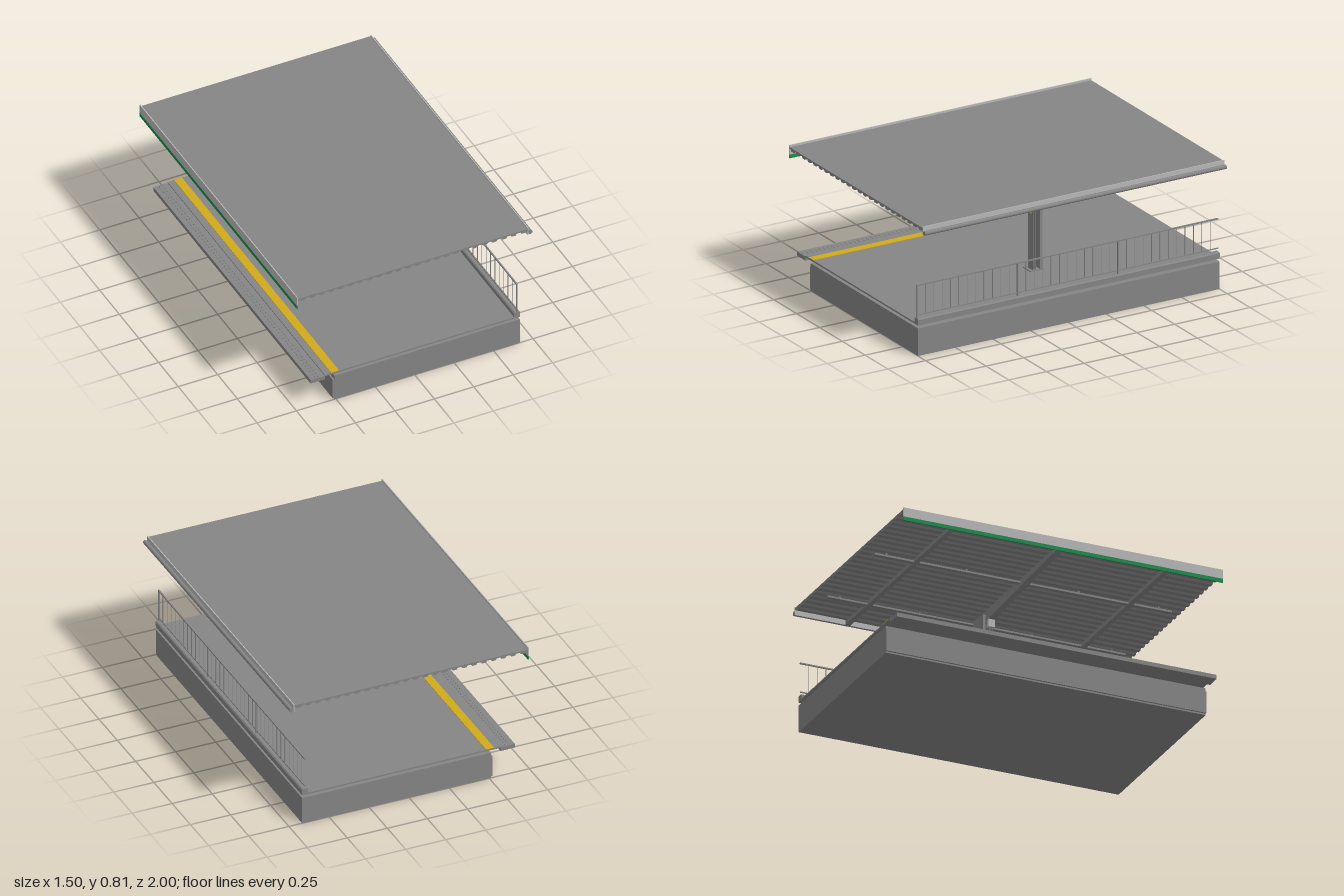
import * as THREE from 'three';
import { mergeGeometries } from 'three/addons/utils/BufferGeometryUtils.js';

const mat = (name, color) => {
  const m = new THREE.MeshStandardMaterial({ color });
  m.name = name;
  return m;
};

// box geometry from its min and max corners
function span(x0, x1, y0, y1, z0, z1) {
  const g = new THREE.BoxGeometry(x1 - x0, y1 - y0, z1 - z0);
  return g.translate((x0 + x1) / 2, (y0 + y1) / 2, (z0 + z1) / 2);
}

// profile in x and y, extruded from z0 to z1
function prism(points, z0, z1) {
  const shape = new THREE.Shape(points.map(([x, y]) => new THREE.Vector2(x, y)));
  const g = new THREE.ExtrudeGeometry(shape, { depth: z1 - z0, bevelEnabled: false });
  return g.translate(0, 0, z0);
}

export function createModel() {
  const model = new THREE.Group();
  model.name = 'stationPlatform';

  const grey = mat('concreteGrey', 0x858585);
  const light = mat('lightGrey', 0xb8b8b8);
  const yellow = mat('safetyYellow', 0xd0aa1c);
  const green = mat('trimGreen', 0x1f8a4c);

  const add = (name, material, ...geometries) => {
    const g = geometries.length > 1 ? mergeGeometries(geometries) : geometries[0];
    const mesh = new THREE.Mesh(g, material);
    mesh.name = name;
    model.add(mesh);
  };

  // foundation and its set-back face panel
  add('foundation', grey, span(-0.51, 0.667, 0, 0.168, -1, 1));
  add('foundationFacing', grey, span(-0.52, -0.51, 0.01, 0.143, -1, 1));

  // floating deck with the track-side coping
  add('deck', grey, span(-0.57, 0.667, 0.185, 0.195, -1, 1));
  add('coping', grey, span(-0.66, -0.57, 0.164, 0.189, -1, 1));
  add('warningStripe', yellow, span(-0.53, -0.48, 0.195, 0.198, -1, 1));

  // raised studs along the coping
  const studs = [];
  for (let i = 0; i < 70; i++) {
    for (const x of [-0.625, -0.605]) {
      const stud = new THREE.CylinderGeometry(0.004, 0.006, 0.005, 8);
      studs.push(stud.translate(x, 0.1915, -0.986 + (i * 1.972) / 69));
    }
  }
  add('copingStuds', grey, ...studs);

  // chamfered kerb under the railing
  add('kerb', grey, prism([[0.63, 0.195], [0.669, 0.195], [0.669, 0.219],
    [0.663, 0.225], [0.636, 0.225], [0.63, 0.219]], -1, 1));

  // railing: three bays of twelve spaces
  const bars = [], posts = [];
  for (let i = 0; i < 36; i++) {
    const z = 0.996 - i / 18;
    if (i % 12 === 0) posts.push(span(0.645, 0.653, 0.22, 0.427, z - 0.004, z + 0.004));
    else bars.push(span(0.6475, 0.6505, 0.243, 0.423, z - 0.0015, z + 0.0015));
  }
  add('railingPosts', grey, ...posts);
  add('railingBars', grey, ...bars);
  add('handrail', grey, span(0.645, 0.653, 0.42, 0.428, -1, 1));
  add('lowerRail', grey, span(0.646, 0.652, 0.241, 0.247, -1, 1));

  // column of parallel plates on a base plate
  add('columnPlates', grey,
    span(0.252, 0.31, 0.195, 0.75, 0.017, 0.021),
    span(0.252, 0.302, 0.195, 0.75, -0.002, 0.002),
    span(0.252, 0.31, 0.195, 0.75, -0.04, -0.025));
  add('columnBase', grey, span(0.232, 0.31, 0.195, 0.201, -0.05, 0.04));

  // tapered cantilever beam
  add('cantileverBeam', grey, prism([[-0.74, 0.753], [-0.56, 0.752], [0.25, 0.713],
    [0.31, 0.713], [0.66, 0.752], [0.718, 0.753], [0.718, 0.782], [-0.74, 0.782]], -0.02, 0.02));

  // secondary cross beams
  for (const z of [-0.67, 0.67]) {
    add('crossBeam', grey, span(-0.74, 0.718, 0.754, 0.782, z - 0.015, z + 0.015));
  }

  // roof deck, ribbed below
  const count = 24, left = -0.742, pitch = 1.46 / count;
  const profile = [[left, 0.798], [left, 0.788]];
  for (let i = 0; i < count; i++) {
    const x = left + i * pitch;
    profile.push([x + pitch * 0.2, 0.788], [x + pitch * 0.32, 0.777],
      [x + pitch * 0.72, 0.777], [x + pitch * 0.84, 0.788]);
  }
  profile.push([left + 1.46, 0.788], [left + 1.46, 0.798]);
  add('ribbedRoof', grey, prism(profile.reverse(), -1, 1));

  // track-side fascia with its coloured lower band
  add('fascia', light, span(-0.747, -0.741, 0.753, 0.81, -1, 1));
  add('fasciaBand', green, span(-0.748, -0.741, 0.73, 0.753, -1, 1));

  // rear upstand and round gutter
  add('rearUpstand', light, span(0.716, 0.722, 0.755, 0.806, -1, 1));
  const gutter = new THREE.CylinderGeometry(0.013, 0.013, 2, 16).rotateX(Math.PI / 2);
  add('gutter', grey, gutter.translate(0.734, 0.77, 0));

  // strip lamps below the roof
  for (const x of [-0.195, 0.435]) {
    add('stripLamp', grey, span(x - 0.015, x + 0.015, 0.756, 0.767, -0.93, 0.93));
    add('lampHangers', grey, ...[-0.85, -0.35, 0.35, 0.85].map(
      z => span(x - 0.004, x + 0.004, 0.766, 0.79, z - 0.004, z + 0.004)));
  }

  // loudspeaker box and sign on the column
  add('loudspeaker', light, span(0.22, 0.247, 0.667, 0.72, -0.02, 0.02));
  add('sign', yellow, span(0.196, 0.292, 0.543, 0.608, 0.021, 0.027));

  return model;
}
